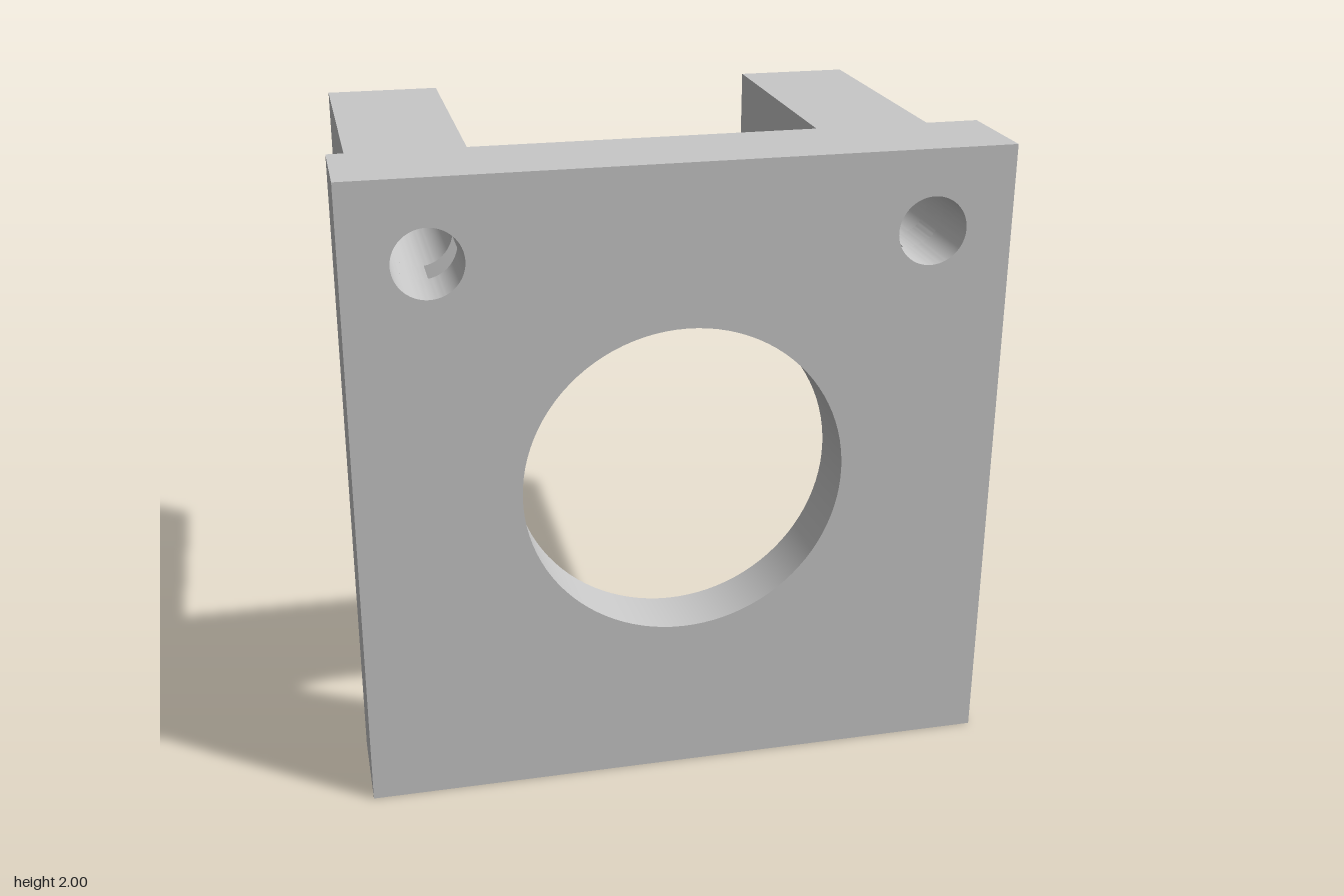
import * as THREE from 'three';
import { toCreasedNormals } from 'three/addons/utils/BufferGeometryUtils.js';

const BACK = -0.719, PLATE_BACK = 0.406, RECESS_FLOOR = 0.531, FRONT = 0.719;
const POST_X = 0.75, POST_Y = 1.75, POST_HALF = 0.1875, BORE = 0.106;
const RECESS = 0.734; // half width of the square recess

function rectangle(cx, cy, half) {
  return new THREE.Shape([
    new THREE.Vector2(cx - half, cy - half),
    new THREE.Vector2(cx + half, cy - half),
    new THREE.Vector2(cx + half, cy + half),
    new THREE.Vector2(cx - half, cy + half),
  ]);
}

function circle(cx, cy, r) {
  return new THREE.Path().absarc(cx, cy, r, 0, Math.PI * 2, false);
}

// Extrude a shape between two z planes, smooth inside the bores and sharp at corners
function slab(name, shape, z0, z1, material) {
  const geometry = new THREE.ExtrudeGeometry(shape, {
    depth: z1 - z0, bevelEnabled: false, curveSegments: 48,
  });
  geometry.translate(0, 0, z0);
  const mesh = new THREE.Mesh(toCreasedNormals(geometry, 0.5), material);
  mesh.name = name;
  return mesh;
}

export function createModel() {
  const group = new THREE.Group();
  group.name = 'mountingBracket';
  const lightGrey = new THREE.MeshStandardMaterial({ color: 0xc8c8c8 });
  lightGrey.name = 'lightGrey';

  // Front plate with the large opening and two screw holes
  const plate = rectangle(0, 1, 1);
  plate.holes.push(circle(0, 1, 0.5), circle(POST_X, POST_Y, BORE), circle(-POST_X, POST_Y, BORE));
  group.add(slab('frontPlate', plate, RECESS_FLOOR, FRONT, lightGrey));

  // Rim around the square recess; the screw holes bite into its upper corners
  const rim = rectangle(0, 1, 1);
  const inset = POST_X - RECESS;
  const a = Math.PI / 2 + Math.asin(inset / BORE);
  const opening = new THREE.Path();
  opening.moveTo(-RECESS, 1 - RECESS);
  opening.lineTo(RECESS, 1 - RECESS);
  opening.absarc(POST_X, POST_Y, BORE, -a, Math.PI / 2 + a, false);
  opening.absarc(-POST_X, POST_Y, BORE, Math.PI / 2 - a, Math.PI + a, false);
  opening.lineTo(-RECESS, 1 - RECESS);
  rim.holes.push(opening);
  group.add(slab('recessRim', rim, PLATE_BACK, RECESS_FLOOR, lightGrey));

  // Two square posts bored along their length
  for (const [name, side] of [['leftPost', 1], ['rightPost', -1]]) {
    const post = rectangle(side * POST_X, POST_Y, POST_HALF);
    post.holes.push(circle(side * POST_X, POST_Y, BORE));
    group.add(slab(name, post, BACK, PLATE_BACK, lightGrey));
  }
  return group;
}
